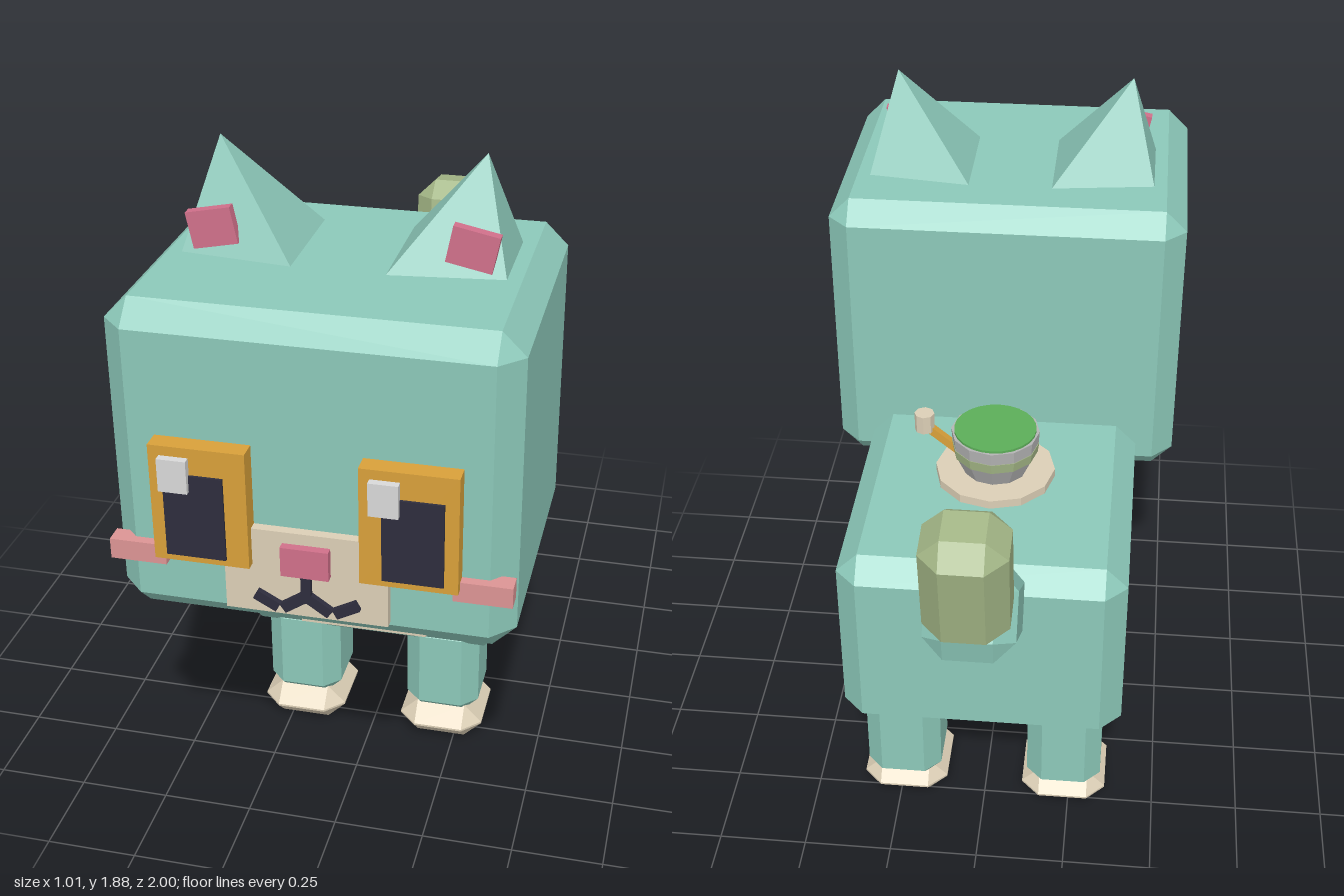
import * as THREE from 'three';
import { ConvexGeometry } from 'three/addons/geometries/ConvexGeometry.js';

const material = (name, color) => {
  const m = new THREE.MeshStandardMaterial({ color });
  m.name = name;
  return m;
};

export function createModel() {
  const model = new THREE.Group();
  model.name = 'blockyCat';

  const teal = material('teal fur', 0x8cc8b9);
  const cream = material('cream', 0xdccfb6);
  const gold = material('gold', 0xd8a03a);
  const dark = material('dark navy', 0x2e2d3d);
  const white = material('eye glint', 0xd8d8d8);
  const pink = material('rose pink', 0xd0708a);
  const blush = material('pale pink', 0xdc9494);
  const sage = material('sage green', 0xa3b686);
  const green = material('bright green', 0x5cae59);
  const grey = material('grey', 0xb4b4b4);

  const add = (name, geometry, mat, x = 0, y = 0, z = 0, parent = model) => {
    const mesh = new THREE.Mesh(geometry, mat);
    mesh.name = name;
    mesh.position.set(x, y, z);
    parent.add(mesh);
    return mesh;
  };

  const box = (w, h, d) => new THREE.BoxGeometry(w, h, d);

  // Box with every edge and corner cut at 45 degrees
  const chamferBox = (w, h, d, c) => {
    const points = [];
    for (const sx of [-1, 1]) for (const sy of [-1, 1]) for (const sz of [-1, 1]) {
      for (let axis = 0; axis < 3; axis++) {
        const p = [w / 2, h / 2, d / 2].map((half, i) => (i === axis ? half : half - c));
        points.push(new THREE.Vector3(sx * p[0], sy * p[1], sz * p[2]));
      }
    }
    return new ConvexGeometry(points);
  };

  // Faceted round part
  const facetedCylinder = (top, bottom, height, sides = 12) => {
    const g = new THREE.CylinderGeometry(top, bottom, height, sides).toNonIndexed();
    g.computeVertexNormals();
    return g;
  };

  // Body and head
  add('body', chamferBox(0.79, 0.59, 0.97, 0.06), teal, 0, 0.635, -0.125);
  add('chestPatch', box(0.365, 0.4, 0.1), cream, 0, 0.615, 0.35);
  add('head', chamferBox(1.01, 0.85, 0.81, 0.06), teal, 0, 1.19, 0.525);

  // Muzzle, nose and mouth
  add('muzzle', box(0.41, 0.235, 0.045), cream, -0.003, 0.953, 0.9325);
  add('nose', box(0.12, 0.08, 0.04), pink, 0, 1.0, 0.957);
  add('mouthLine', box(0.025, 0.085, 0.02), dark, 0, 0.925, 0.96);

  for (const s of [-1, 1]) {
    const side = s > 0 ? 'left' : 'right';

    // Mouth curls
    add(side + 'MouthInner', box(0.065, 0.027, 0.02), dark, s * 0.033, 0.878, 0.96).rotation.z = -s * 0.6;
    add(side + 'MouthOuter', box(0.065, 0.027, 0.02), dark, s * 0.1, 0.876, 0.96).rotation.z = s * 0.5;

    // Eyes
    add(side + 'EyeFrame', box(0.24, 0.315, 0.06), gold, s * 0.257, 1.128, 0.95);
    add(side + 'Pupil', box(0.15, 0.225, 0.008), dark, s * 0.268, 1.102, 0.983);
    add(side + 'EyeGlint', box(0.073, 0.088, 0.022), white, s > 0 ? 0.2 : -0.313, 1.216, 0.989);

    // Cheek bars
    add(side + 'CheekBar', box(0.145, 0.055, 0.05), blush, s * 0.432, 0.963, 0.93);

    // Ears: four-sided pyramids leaning outwards
    add(side + 'Ear', new ConvexGeometry([
      new THREE.Vector3(s * 0.335, 1.885, 0.46),
      new THREE.Vector3(s * 0.115, 1.61, 0.29),
      new THREE.Vector3(s * 0.115, 1.61, 0.62),
      new THREE.Vector3(s * 0.412, 1.6, 0.59),
      new THREE.Vector3(s * 0.412, 1.6, 0.325),
    ]), teal);
    add(side + 'InnerEar', box(0.117, 0.095, 0.028), pink, s * 0.325, 1.687, 0.578).rotation.z = -s * 0.2;

    // Legs and paws
    for (const [end, x, z, pawZ] of [['Front', 0.21, 0.2, 0.212], ['Back', 0.235, -0.438, -0.418]]) {
      add(side + end + 'Leg', chamferBox(0.215, 0.32, 0.236, 0.045), teal, s * x, 0.24, z);
      add(side + end + 'Paw', chamferBox(0.245, 0.11, 0.268, 0.052), cream, s * x, 0.055, pawZ);
    }
  }

  // Tail in two angled blocks
  add('tailBase', chamferBox(0.24, 0.35, 0.24, 0.055), teal, 0, 0.905, -0.71).rotation.x = -0.97;
  add('tailTip', chamferBox(0.22, 0.36, 0.21, 0.055), sage, 0, 1.147, -0.872).rotation.x = -0.16;

  // Round bowl on the back, with a side lever
  const bowl = new THREE.Group();
  bowl.name = 'backBowl';
  bowl.position.set(0, 0, -0.147);
  model.add(bowl);
  add('bowlPlate', facetedCylinder(0.17, 0.17, 0.03), cream, 0, 0.94, 0, bowl);
  add('bowlFoot', facetedCylinder(0.118, 0.092, 0.06), grey, 0, 0.985, 0, bowl);
  add('bowlBand', facetedCylinder(0.124, 0.12, 0.03), sage, 0, 1.028, 0, bowl);
  add('bowlRim', facetedCylinder(0.125, 0.122, 0.04), grey, 0, 1.06, 0, bowl);
  add('bowlTop', facetedCylinder(0.116, 0.116, 0.008, 24), green, 0, 1.083, 0, bowl);
  add('leverRod', box(0.14, 0.022, 0.022), gold, 0.145, 1.04, 0, bowl).rotation.z = 0.7;
  add('leverKnob', facetedCylinder(0.028, 0.028, 0.055, 8), cream, 0.2, 1.097, 0, bowl);

  return model;
}
